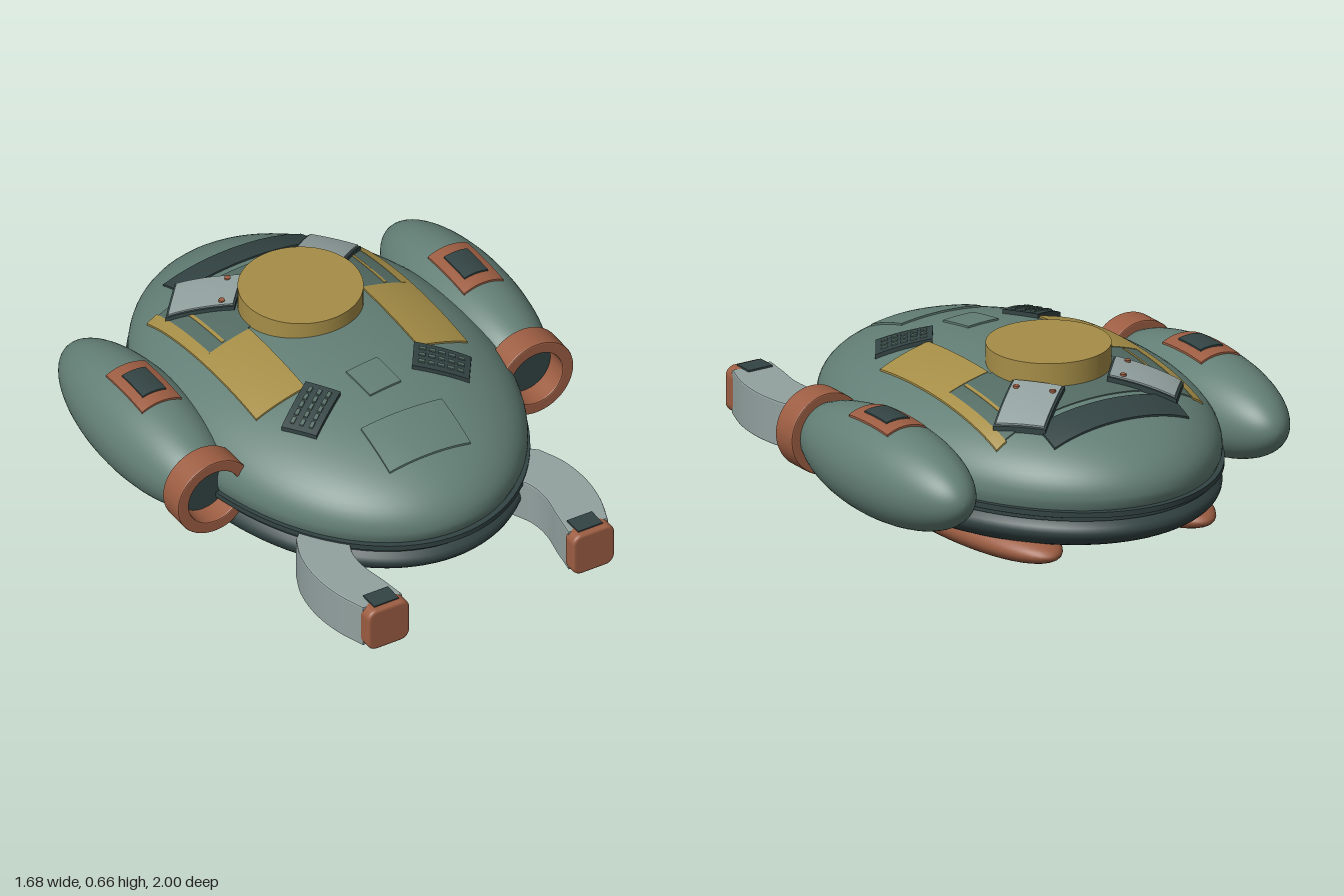
import * as THREE from 'three';

const material = (name, color, side = THREE.FrontSide) => {
  const m = new THREE.MeshStandardMaterial({ color, side });
  m.name = name;
  return m;
};

export function createModel() {
  const model = new THREE.Group();
  model.name = 'hoverCraft';
  const green = material('hullGreen', 0x637f76);
  const panel = material('panelGreen', 0x546c64);
  const dark = material('darkSlate', 0x334343);
  const copper = material('copper', 0x9c5d42);
  const gold = material('ochre', 0xa68e47);
  const grey = material('paleGrey', 0x92a19f);

  const add = (name, geometry, mat, x = 0, y = 0, z = 0) => {
    const mesh = new THREE.Mesh(geometry, mat);
    mesh.name = name;
    mesh.position.set(x, y, z);
    model.add(mesh);
    return mesh;
  };
  const ellipsoid = (rx, ry, rz) => new THREE.SphereGeometry(1, 48, 32).scale(rx, ry, rz);

  // Height functions used to wrap plates over curved bodies
  const dome = (cx, cy, cz, rx, ry, rz) => (x, z) =>
    cy + ry * Math.sqrt(Math.max(0, 1 - ((x - cx) / rx) ** 2 - ((z - cz) / rz) ** 2));
  const HX = 0.62, HZ = 0.88, CZ = -0.11;
  const hullTop = dome(0, 0.32, CZ, HX, 0.285, HZ);

  // Thin plate that follows a surface: centre, size, turn about y, height range above surface
  const plate = (name, mat, surface, x, z, w, d, turn = 0, top = 0.007, bottom = -0.005) => {
    const g = new THREE.BoxGeometry(w, 1, d, 10, 1, 10);
    const p = g.attributes.position;
    const c = Math.cos(turn), s = Math.sin(turn);
    for (let i = 0; i < p.count; i++) {
      const u = p.getX(i), v = p.getZ(i);
      const px = x + u * c - v * s, pz = z + u * s + v * c;
      p.setXYZ(i, px, surface(px, pz) + (p.getY(i) > 0 ? top : bottom), pz);
    }
    g.computeVertexNormals();
    return add(name, g, mat);
  };

  // Elliptical bodies of revolution: profile in unit radius and true height
  const oval = (name, mat, pts) => {
    const g = new THREE.LatheGeometry(pts.map(([r, y]) => new THREE.Vector2(r, y)), 96);
    return add(name, g.scale(HX, 1, HZ), mat, 0, 0, CZ);
  };
  const arc = (cy, ry, from, to, n = 24) =>
    Array.from({ length: n + 1 }, (_, i) => {
      const a = from + ((to - from) * i) / n;
      return [Math.max(0, Math.cos(a)), cy + ry * Math.sin(a)];
    });
  oval('upperHull', green, [[0.985, 0.272], [1, 0.3], ...arc(0.32, 0.285, 0, Math.PI / 2)]);
  oval('lowerHull', dark, [...arc(0.19, 0.16, -Math.PI / 2, 0), [0.995, 0.21], [0.965, 0.228]]);
  const band = (name, r, y, h) =>
    add(name, new THREE.CylinderGeometry(r, r, h, 96).scale(HX, 1, HZ), dark, 0, y, CZ);
  band('seamCore', 0.96, 0.236, 0.04);
  band('seamRib', 0.985, 0.24, 0.012);
  band('hullRim', 1.011, 0.264, 0.02);

  // Turret base
  add('turret', new THREE.CylinderGeometry(0.22, 0.22, 0.085, 64), gold, 0, 0.62, -0.295);

  // Centre plates on the upper hull
  plate('frontHatch', green, hullTop, 0, 0.485, 0.33, 0.195);
  plate('smallHatch', green, hullTop, 0, 0.2, 0.135, 0.14, -0.1);
  plate('rearPanel', dark, hullTop, 0, -0.70, 0.56, 0.12);
  plate('backPanel', panel, hullTop, 0, -0.44, 0.46, 0.34, 0, 0.004);

  for (const s of [1, -1]) {
    const side = s > 0 ? 'left' : 'right';

    // Painted shoulder panels
    plate(side + 'GoldPanel', gold, hullTop, s * 0.33, -0.07, 0.2, 0.38);
    plate(side + 'GoldStrip', gold, hullTop, s * 0.41, -0.44, 0.04, 0.36);
    plate(side + 'ShoulderPanel', panel, hullTop, s * 0.31, -0.435, 0.16, 0.35, 0, 0.005);
    plate(side + 'GoldLine', gold, hullTop, s * 0.33, -0.42, 0.012, 0.3);

    // Rear flap with rivets
    const flapTurn = -s * 0.71;
    plate(side + 'FlapBase', dark, hullTop, s * 0.243, -0.54, 0.245, 0.19, flapTurn, 0.021);
    plate(side + 'Flap', grey, hullTop, s * 0.243, -0.54, 0.23, 0.175, flapTurn, 0.027, 0.015);
    for (const [x, z] of [[0.147, -0.545], [0.232, -0.443]])
      add(side + 'Rivet', new THREE.CylinderGeometry(0.011, 0.011, 0.012, 16), copper,
        s * x, hullTop(x, z) + 0.027, z);

    // Front vent with slats
    const ventTurn = s * 0.59;
    plate(side + 'Vent', dark, hullTop, s * 0.266, 0.218, 0.2, 0.135, ventTurn, 0.016);
    for (let i = -1; i <= 1; i++)
      for (let j = -2; j <= 2; j++) {
        const u = j * 0.034, v = i * 0.036;
        plate(side + 'VentSlat', panel, hullTop,
          s * 0.266 + u * Math.cos(ventTurn) - v * Math.sin(ventTurn),
          0.218 + u * Math.sin(ventTurn) + v * Math.cos(ventTurn),
          0.024, 0.014, ventTurn, 0.021, 0.01);
      }

    // Side pod, cut flat at the nose
    const px = s * 0.655, py = 0.327, pz = -0.27, rz = 0.49, cut = 0.4 / rz;
    const podPts = Array.from({ length: 33 }, (_, i) => {
      const a = -Math.PI / 2 + ((Math.asin(cut) + Math.PI / 2) * i) / 32;
      return new THREE.Vector2(Math.max(0, Math.cos(a)), Math.sin(a));
    });
    const pod = new THREE.LatheGeometry(podPts, 48).rotateX(Math.PI / 2).scale(0.183, 0.187, rz);
    add(side + 'Pod', pod, green, px, py, pz);
    add(side + 'PodIntake', new THREE.CircleGeometry(0.112, 40), dark, px, py, 0.132);

    // Collar around the pod nose
    const ring = new THREE.Shape().absarc(0, 0, 0.145, 0, Math.PI * 2);
    ring.holes.push(new THREE.Path().absarc(0, 0, 0.11, 0, Math.PI * 2, true));
    add(side + 'PodCollar', new THREE.ExtrudeGeometry(ring, {
      depth: 0.095, bevelThickness: 0.005, bevelSize: 0.005, bevelSegments: 2, curveSegments: 48,
    }), copper, px, py, 0.115);

    // Patch on top of the pod
    const podTop = dome(px, py, pz, 0.183, 0.187, rz);
    plate(side + 'PodPatch', copper, podTop, px, -0.267, 0.16, 0.245);
    plate(side + 'PodPatchCore', dark, podTop, px, -0.265, 0.095, 0.14, 0, 0.013, 0.003);

    // Underside float
    add(side + 'Float', ellipsoid(0.17, 0.085, 0.6), copper, s * 0.32, 0.086, -0.22);

    // Curved front arm, drawn in plan and extruded downwards
    const v2 = ([x, z]) => new THREE.Vector2(s * x, z);
    const outer = [[0.49, 0.5], [0.53, 0.6], [0.544, 0.72], [0.53, 0.84], [0.494, 0.95]].map(v2);
    const inner = [[0.345, 0.95], [0.36, 0.85], [0.377, 0.75], [0.37, 0.66], [0.33, 0.57]].map(v2);
    const armShape = new THREE.Shape();
    armShape.moveTo(s * 0.4, 0.42);
    armShape.lineTo(outer[0].x, outer[0].y);
    armShape.splineThru(outer.slice(1));
    armShape.lineTo(inner[0].x, inner[0].y);
    armShape.splineThru(inner.slice(1));
    const arm = new THREE.ExtrudeGeometry(armShape, {
      depth: 0.156, bevelThickness: 0.006, bevelSize: 0.006, bevelSegments: 2, curveSegments: 16,
    }).rotateX(Math.PI / 2);
    add(side + 'Arm', arm, grey, 0, 0.262, 0);

    // Rounded arm tip and its top plate
    const r = 0.025, w = 0.085 - 0.012, h = 0.085 - 0.012;
    const tip = new THREE.Shape();
    tip.moveTo(-w + r, -h);
    tip.absarc(w - r, -h + r, r, -Math.PI / 2, 0);
    tip.absarc(w - r, h - r, r, 0, Math.PI / 2);
    tip.absarc(-w + r, h - r, r, Math.PI / 2, Math.PI);
    tip.absarc(-w + r, -h + r, r, Math.PI, Math.PI * 1.5);
    add(side + 'ArmTip', new THREE.ExtrudeGeometry(tip, {
      depth: 0.036, bevelThickness: 0.012, bevelSize: 0.012, bevelSegments: 4, curveSegments: 8,
    }), copper, s * 0.417, 0.185, 0.952);
    add(side + 'ArmTipPlate', new THREE.BoxGeometry(0.1, 0.009, 0.075), dark, s * 0.415, 0.27, 0.94);
  }
  return model;
}
